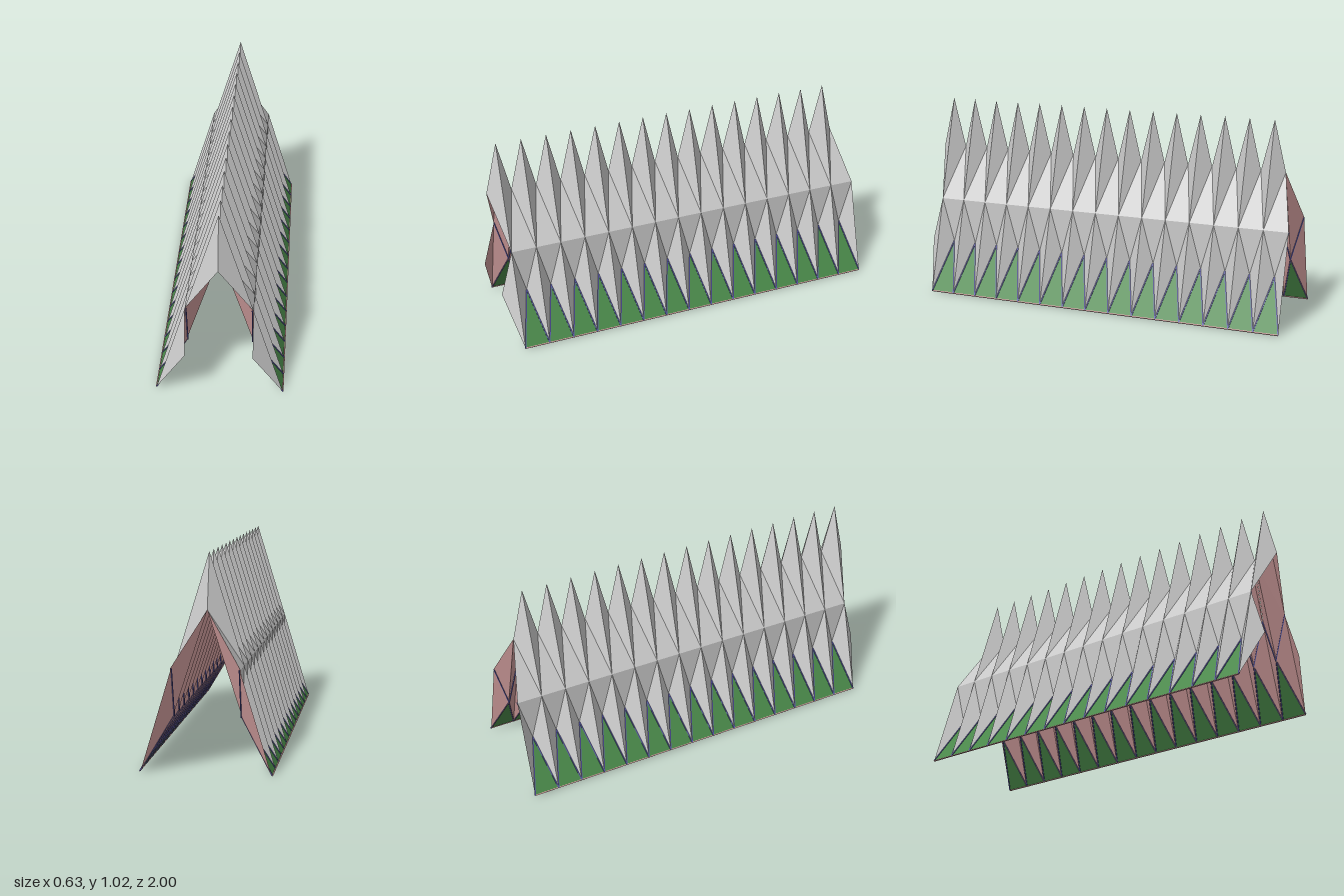
import * as THREE from 'three';

const N = 15;               // full folds along the length
const STEP = 2 / (N + 0.5); // fold spacing
const HALF = STEP / 2;

const material = (color, side = THREE.FrontSide) =>
  new THREE.MeshStandardMaterial({ color, side, flatShading: true });

// Fold points on one side (s = +1 or -1); k counts folds from the front
const zOut = (k) => 1 - HALF - k * STEP;
const zIn = (k) => 1 - k * STEP;
const peak = (k) => [0, 1.02, zOut(k)];
const saddle = (k) => [0, 0.755, zIn(k)];
const knee = (s, k) => [s * 0.163, 0.49, zOut(k)];
const inner = (s, k) => [s * 0.163, 0.255, zIn(k)];
const foot = (s, k) => [s * 0.31, 0.004, zOut(k)];

// Triangles turned so that their normal's x has the wanted sign
function triangleMesh(name, tris, mat) {
  const pos = [];
  for (const { pts, dir } of tris) {
    const [a, b, c] = pts.map((p) => new THREE.Vector3(...p));
    const n = b.clone().sub(a).cross(c.clone().sub(a));
    const order = n.x * dir > 0 ? [a, b, c] : [a, c, b];
    order.forEach((v) => pos.push(v.x, v.y, v.z));
  }
  const g = new THREE.BufferGeometry();
  g.setAttribute('position', new THREE.Float32BufferAttribute(pos, 3));
  g.computeVertexNormals();
  const mesh = new THREE.Mesh(g, mat);
  mesh.name = name;
  return mesh;
}

// Thin square rod between two points
function rod(name, a, b, radius, mat) {
  const p = new THREE.Vector3(...a), q = new THREE.Vector3(...b);
  const d = q.clone().sub(p);
  const mesh = new THREE.Mesh(new THREE.CylinderGeometry(radius, radius, d.length(), 4), mat);
  mesh.position.copy(p).add(q).multiplyScalar(0.5);
  mesh.quaternion.setFromUnitVectors(new THREE.Vector3(0, 1, 0), d.normalize());
  mesh.name = name;
  return mesh;
}

export function createModel() {
  const model = new THREE.Group();
  model.name = 'foldedShelter';
  const grey = material(0xcccccc);
  const pink = material(0xcc9999);
  const green = material(0x4a8a4a, THREE.DoubleSide);
  const blue = material(0x5858a8);

  for (const s of [1, -1]) {
    const side = new THREE.Group();
    side.name = s > 0 ? 'leftSide' : 'rightSide';
    const folds = [], flats = [], lining = [], panels = [];
    const add = (list, dir, ...pts) => list.push({ pts, dir });

    for (let k = 0; k <= N; k++) {
      const B = knee(s, k), D = foot(s, k);
      // pleats on either side of each outer crease
      for (const j of [k, k + 1]) {
        if (j > N) continue;
        if (k < N) add(folds, s, peak(k), saddle(j), B);
        add(folds, s, B, inner(s, j), D);
      }
      // the last peak stops short, its saddle meets the end knee
      if (k === N) continue;
      const B2 = knee(s, k + 1), D2 = foot(s, k + 1);
      const A = saddle(k + 1), C = inner(s, k + 1);
      // horizontal knee facets, inner lining facets and foot panels
      add(flats, s, B, B2, A);
      add(flats, s, B, B2, C);
      add(lining, -s, A, C, B);
      add(lining, -s, A, C, B2);
      add(panels, s, C, D, D2);
    }

    // inside of the pleats, just under the outer skin
    for (const { pts } of folds)
      add(lining, -s, ...pts.map(([x, y, z]) => [x - s * Math.min(0.003, Math.abs(x)), Math.max(y - 0.003, 0), z]));

    side.add(
      triangleMesh('pleats', folds, grey),
      triangleMesh('kneeFacets', flats, grey),
      triangleMesh('innerLining', lining, pink),
      triangleMesh('footPanels', panels, green)
    );

    // frames round the foot panels and along the inner creases
    const inset = ([x, y, z]) => [x - s * 0.006, y, z];
    for (let k = 1; k <= N; k++) {
      for (const j of [k - 1, k]) {
        side.add(rod('panelFrame', inner(s, k), foot(s, j), 0.004, blue));
        side.add(rod('creaseFrame', inset(inner(s, k)), inset(knee(s, j)), 0.003, blue));
      }
    }
    side.add(rod('footRail', foot(s, 0), foot(s, N), 0.004, pink));
    model.add(side);
  }
  return model;
}
